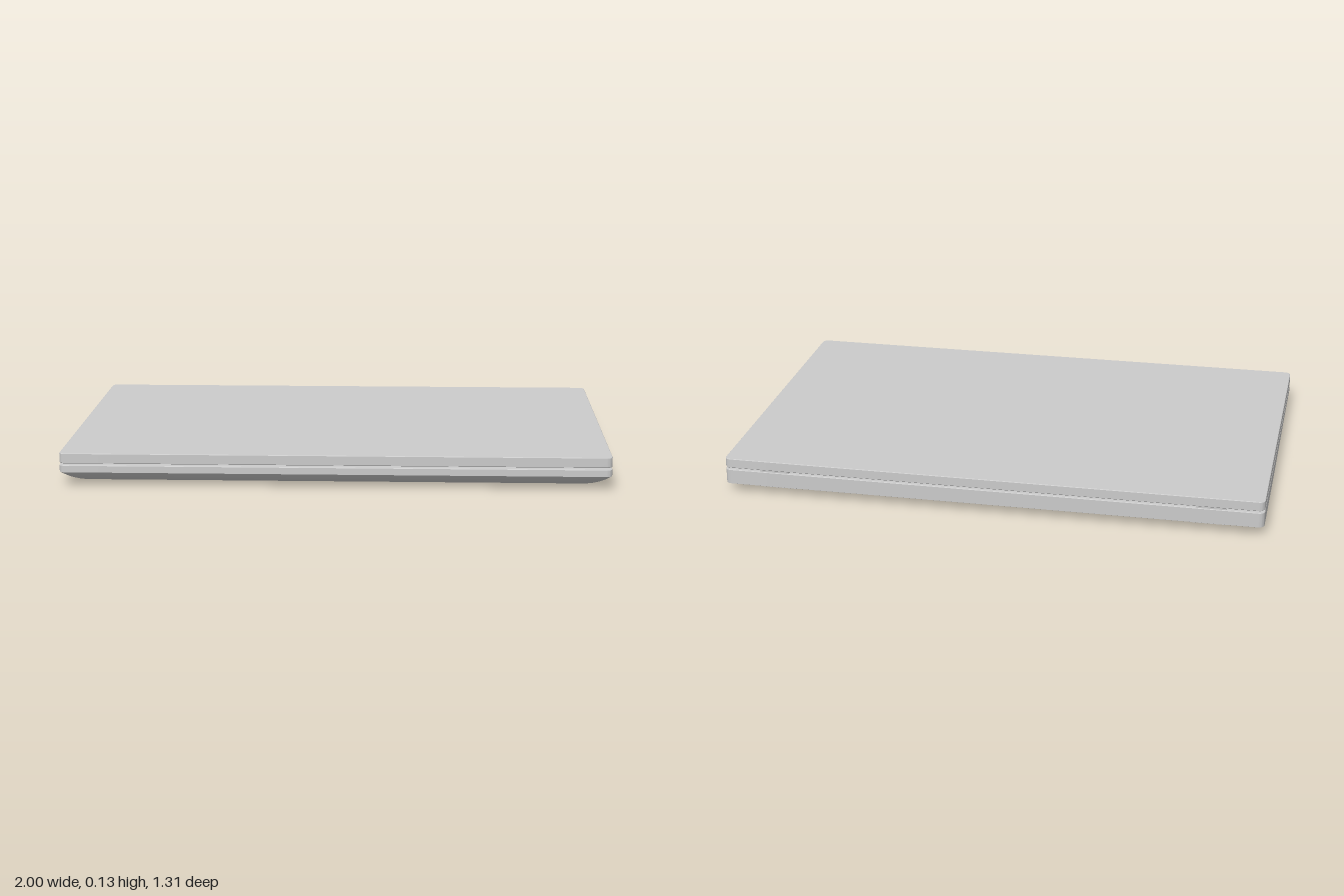
import * as THREE from 'three';
import { toCreasedNormals } from 'three/addons/utils/BufferGeometryUtils.js';

const W = 1, D = 0.655;
const material = new THREE.MeshStandardMaterial({ color: 0xcccccc });

// Straight slope along the depth: value at the front and at the back.
const slope = (front, back) => z => back + (front - back) * (z + D) / (2 * D);

// Rounded rectangle in plan, with subdivided edges; runs from +x towards +z.
function outline(x, z0, z1, r) {
  const corners = [[x - r, z1 - r], [-x + r, z1 - r], [-x + r, z0 + r], [x - r, z0 + r]];
  const arcs = corners.map(([cx, cz], q) => {
    const pts = [];
    for (let i = 0; i <= 6; i++) {
      const a = (q + i / 6) * Math.PI / 2;
      pts.push([cx + r * Math.cos(a), cz + r * Math.sin(a)]);
    }
    return pts;
  });
  return arcs.flatMap((arc, q) => {
    const a = arc[6], b = arcs[(q + 1) % 4][0], edge = [];
    for (let i = 1; i < 12; i++) edge.push([a[0] + (b[0] - a[0]) * i / 12, a[1] + (b[1] - a[1]) * i / 12]);
    return [...arc, ...edge];
  });
}

// Closed shell through stacked outlines, lowest first.
// Each layer: side, front and back insets, corner radius, height as a function of z.
function shell(layers) {
  const pos = [], index = [];
  let n = 0;
  for (const { side, front, back, r, y } of layers) {
    const pts = outline(W - side, -D + back, D - front, r);
    n = pts.length;
    for (const [x, z] of pts) pos.push(x, y(z), z);
  }
  const last = (layers.length - 1) * n, bottom = layers.length * n, top = bottom + 1;
  pos.push(0, layers[0].y(0), 0, 0, layers.at(-1).y(0), 0);
  for (let i = 0; i < n; i++) {
    const j = (i + 1) % n;
    for (let k = 0; k < last; k += n) index.push(k + i, k + n + i, k + j, k + j, k + n + i, k + n + j);
    index.push(bottom, i, j, top, last + j, last + i);
  }
  const g = new THREE.BufferGeometry();
  g.setAttribute('position', new THREE.Float32BufferAttribute(pos, 3));
  g.setIndex(index);
  return toCreasedNormals(g, 0.5);
}

export function createModel() {
  const group = new THREE.Group();
  const add = (name, geometry, x = 0, y = 0, z = 0) => {
    const mesh = new THREE.Mesh(geometry, material);
    mesh.name = name;
    mesh.position.set(x, y, z);
    group.add(mesh);
    return mesh;
  };
  const even = (inset, r, y) => ({ side: inset, front: inset, back: inset, r, y });

  // Base: upright walls, belly tucked in deeply at the front and slightly at the back
  const floor = slope(0.011, 0.022);
  const rim = z => 0.034 + 0.016 * THREE.MathUtils.smoothstep(z, -0.35, 0.5);
  const base = [];
  for (let i = 8; i >= 0; i--) {
    const t = i / 8, drop = 1 - Math.pow(1 - t, 1.8);
    base.push({
      side: 0.08 * t, front: 0.065 * t, back: 0.04 * t, r: 0.022 + 0.02 * t,
      y: z => rim(z) + (floor(z) - rim(z)) * drop,
    });
  }
  const deck = slope(0.076, 0.09);
  base.push(even(0, 0.022, z => deck(z) - 0.002), even(0.002, 0.02, deck));
  add('base', shell(base));

  // Lid: thin slab lying just above the deck
  const lidUnder = slope(0.083, 0.097), lidTop = slope(0.12, 0.133);
  add('lid', shell([
    even(0.002, 0.02, lidUnder), even(0, 0.022, z => lidUnder(z) + 0.002),
    even(0, 0.022, z => lidTop(z) - 0.002), even(0.002, 0.02, lidTop),
  ]));

  // Thin seal round the screen, inside the gap
  const seal = new THREE.Shape(outline(0.97, -0.6, 0.63, 0.03).map(p => new THREE.Vector2(...p)));
  seal.holes.push(new THREE.Path(outline(0.955, -0.585, 0.615, 0.02).map(p => new THREE.Vector2(...p))));
  const sealGeometry = new THREE.ExtrudeGeometry(seal, { depth: 0.004, bevelEnabled: false });
  sealGeometry.rotateX(Math.PI / 2);
  add('screenSeal', sealGeometry, 0, lidUnder(0) + 0.001, 0).rotation.x = Math.atan(0.014 / (2 * D));

  // Domed foot profile, from the centre of the sole outwards
  const profile = [[0, 0], [0.025, 0.001], [0.042, 0.004], [0.053, 0.009], [0.059, 0.015], [0.061, 0.024]]
    .map(p => new THREE.Vector2(...p));
  const foot = new THREE.LatheGeometry(profile, 32);

  for (const s of [1, -1]) {
    const side = s > 0 ? 'left' : 'right';
    add(side + 'FrontFoot', foot, s * 0.8, 0, 0.495);
    add(side + 'RearFoot', foot, s * 0.8, 0, -0.505);
    // Hinge bridging the rear gap, and its cover under the base
    add(side + 'Hinge', new THREE.BoxGeometry(0.11, 0.022, 0.04), s * 0.81, 0.093, -0.632);
    add(side + 'HingeCover', new THREE.BoxGeometry(0.125, 0.012, 0.03), s * 0.8, 0.023, -0.607);
  }
  return group;
}
